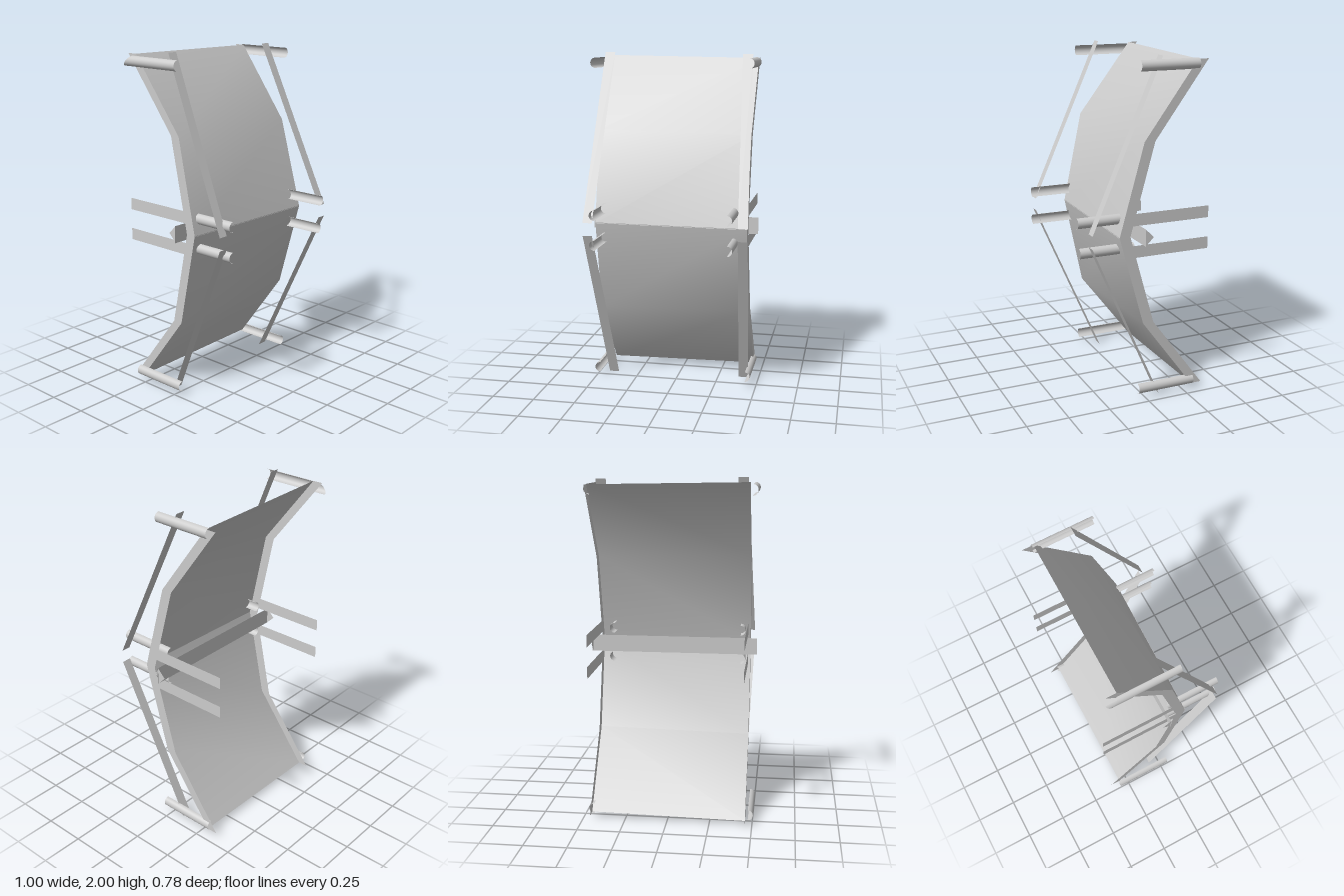
import * as THREE from 'three';

const material = new THREE.MeshStandardMaterial({ color: 0xcccccc, side: THREE.DoubleSide });

// Thin ruled surface between two point lists of equal length
function ruled(a, b) {
  const positions = [], index = [];
  a.forEach((p, i) => {
    positions.push(...p, ...b[i]);
    if (i) {
      const k = 2 * i;
      index.push(k - 2, k, k - 1, k - 1, k, k + 1);
    }
  });
  const g = new THREE.BufferGeometry();
  g.setAttribute('position', new THREE.Float32BufferAttribute(positions, 3));
  g.setIndex(index);
  g.computeVertexNormals();
  return g;
}

// Open half pipe along z, bulging away from the middle; x is its open edge
function halfPipe(side, x, y, back, front, tip = 0) {
  const length = front - back;
  const g = new THREE.CylinderGeometry(0.03, 0.03, length, 16, 1, true, side > 0 ? 0 : Math.PI, Math.PI);
  g.rotateX(Math.PI / 2);
  const p = g.attributes.position;
  for (let i = 0; i < p.count; i++) {
    // the slanted end reaches furthest back along the lower edge
    if (p.getZ(i) < 0) p.setZ(i, p.getZ(i) - tip * (0.03 - p.getY(i)) / 0.06);
  }
  g.translate(x, y, (front + back) / 2);
  return g;
}

export function createModel() {
  const model = new THREE.Group();
  const add = (name, geometry) => {
    const mesh = new THREE.Mesh(geometry, material);
    mesh.name = name;
    model.add(mesh);
  };

  // Curved panel outline, from top to middle: [y, z]
  const leftEdge = [[1.965, -0.30], [1.53, 0.02], [1.0, 0.168]];
  const rightEdge = [[1.98, -0.30], [1.55, 0.03], [1.0, 0.145]];

  for (const half of ['upper', 'lower']) {
    const up = half === 'upper';
    const Y = y => (up ? y : 2.005 - y);
    const at = (x, edge, dz = 0) => edge.map(([y, z]) => [x, Y(y), z + dz]);
    // keep the front of the panel on +z in both halves
    const surface = (a, b) => (up ? ruled(a, b) : ruled(b, a));

    add(half + 'Panel', surface(at(-0.46, rightEdge), at(0.45, leftEdge)));

    for (const s of [-1, 1]) {
      const name = part => half + (s > 0 ? 'Left' : 'Right') + part;
      const edgeX = s > 0 ? 0.45 : -0.46;
      const edge = s > 0 ? leftEdge : rightEdge;

      // side rim running back from the panel edge
      add(name('Rim'), ruled(at(edgeX, edge), at(edgeX, edge, s > 0 ? -0.065 : -0.06)));

      // flat bar in front of the panel
      const topZ = s > 0 ? -0.09 : -0.06, lowZ = s > 0 ? 0.34 : 0.35;
      const endY = s > 0 ? 1.99 : 2.0;
      add(name('Bar'), surface(
        [[s * 0.41 - 0.03, Y(endY), topZ], [s * 0.449 - 0.028, Y(1.04), lowZ]],
        [[s * 0.41 + 0.03, Y(endY), topZ], [s * 0.449 + 0.028, Y(1.04), lowZ]]));

      // pins holding the bar at its outer and inner ends
      add(name('OuterPin'), halfPipe(s, s > 0 ? 0.435 : -0.475, Y(1.94), -0.31, 0.045,
        up && s < 0 ? 0.06 : 0));
      add(name('InnerPin'), halfPipe(s, s > 0 ? 0.366 : -0.40, Y(1.09), 0.05, s > 0 && up ? 0.39 : 0.378));

      // flat strut pointing backwards
      add(name('Strut'), ruled(
        [[s * 0.445, Y(1.13), 0.1], [s * 0.445, Y(1.06), 0.1]],
        [[s * 0.445, Y(1.13), -0.39], [s * 0.445, Y(1.06), -0.39]]));
    }
  }

  // Cross plate behind the panel with triangular end tabs
  add('crossPlate', new THREE.PlaneGeometry(1.0, 0.1).translate(0, 1.0, 0.03));
  const triangle = new THREE.Shape([
    new THREE.Vector2(-0.03, 0.95), new THREE.Vector2(0.02, 1.0), new THREE.Vector2(-0.03, 1.05)]);
  for (const s of [-1, 1]) {
    add(s > 0 ? 'leftEndTab' : 'rightEndTab',
      new THREE.ShapeGeometry(triangle).rotateY(Math.PI / 2).translate(s * 0.495, 0, 0));
  }
  return model;
}
